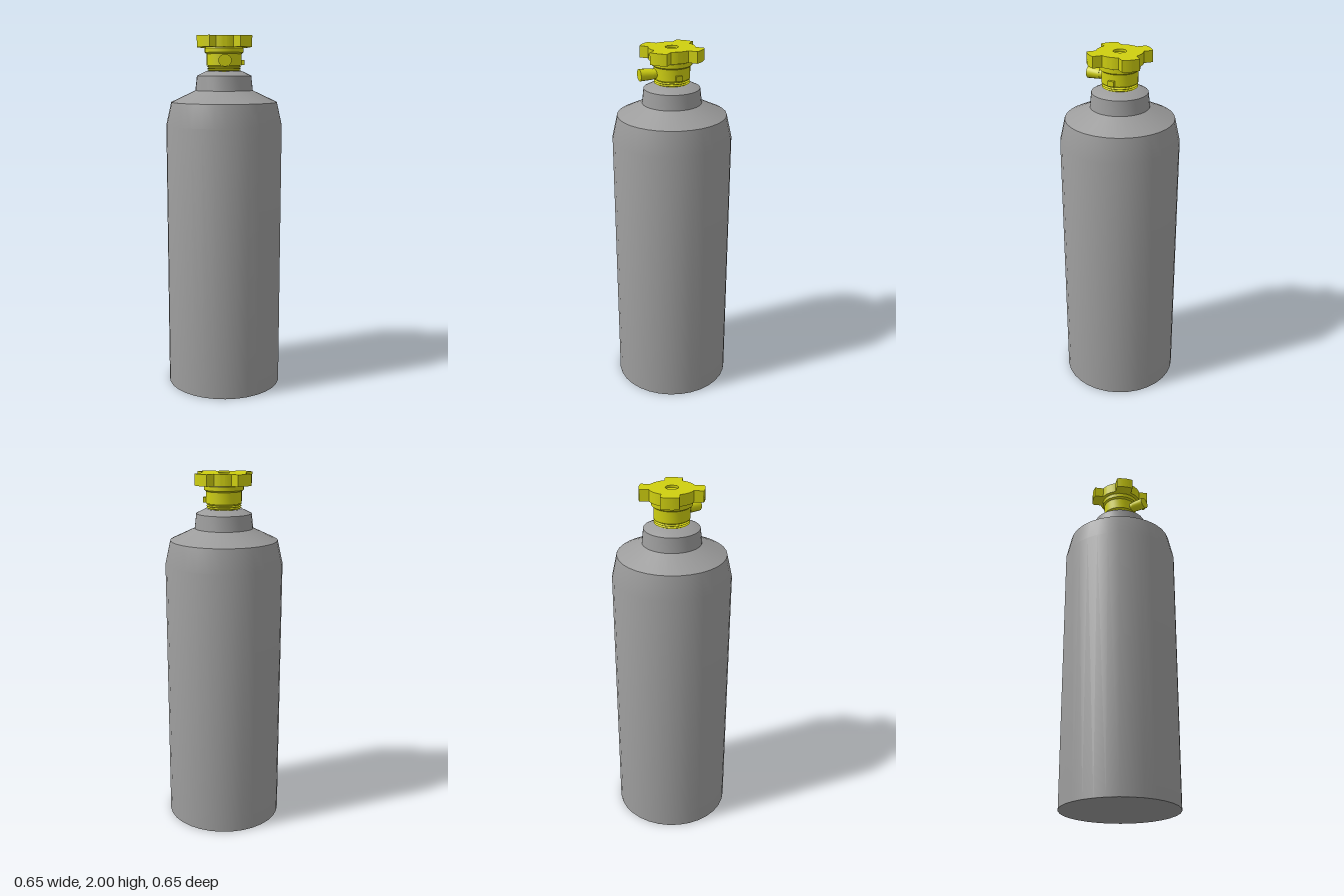
import * as THREE from 'three';
import { toCreasedNormals } from 'three/addons/utils/BufferGeometryUtils.js';

const CREASE = 0.55;

export function createModel() {
  const group = new THREE.Group();
  const steel = new THREE.MeshStandardMaterial({ color: 0x9c9c9c });
  steel.name = 'steelGrey';
  const yellow = new THREE.MeshStandardMaterial({ color: 0xcfcf10 });
  yellow.name = 'valveYellow';

  const add = (name, geometry, material) => {
    const mesh = new THREE.Mesh(toCreasedNormals(geometry, CREASE), material);
    mesh.name = name;
    group.add(mesh);
    return mesh;
  };
  // Profiles run from the bottom up as [radius, height]
  const lathe = (points) =>
    new THREE.LatheGeometry(points.map(([r, y]) => new THREE.Vector2(r, y)), 32);

  // Tank with tapered shoulder and neck ring
  add('tank', lathe([
    [0, 0], [0.326, 0], [0.326, 1.51], [0.297, 1.638],
    [0.161, 1.702], [0.152, 1.783], [0.1, 1.808], [0, 1.808],
  ]), steel);

  // Threaded stem: a stack of small ridges
  const thread = [[0, 1.79], [0.086, 1.79]];
  for (let i = 0; i < 4; i++) {
    const y = 1.8 + i * 0.01;
    thread.push([0.086, y], [0.096, y + 0.004], [0.086, y + 0.009]);
  }
  thread.push([0, 1.84]);
  add('threadedStem', lathe(thread), yellow);

  // Valve body with stepped collar below the handwheel
  add('valveBody', lathe([
    [0, 1.838], [0.097, 1.838], [0.097, 1.902], [0.108, 1.91],
    [0.108, 1.932], [0.1, 1.942], [0, 1.942],
  ]), yellow);

  // Handwheel: round hub with four straight-sided lobes
  const hubR = 0.124, lobeR = 0.172, halfWidth = 0.048;
  const hubA = Math.asin(halfWidth / hubR);
  const lobeA = Math.asin(halfWidth / lobeR);
  const wheel = new THREE.Shape();
  for (let i = 0; i < 4; i++) {
    const a = Math.PI / 4 + (i * Math.PI) / 2;
    wheel.absarc(0, 0, lobeR, a - lobeA, a + lobeA, false);
    wheel.absarc(0, 0, hubR, a + hubA, a + Math.PI / 2 - hubA, false);
  }
  wheel.closePath();
  const hole = new THREE.Path();
  hole.absarc(0, 0, 0.035, 0, Math.PI * 2, true);
  wheel.holes.push(hole);
  const wheelGeometry = new THREE.ExtrudeGeometry(wheel, {
    depth: 0.062, bevelEnabled: false, curveSegments: 10,
  });
  wheelGeometry.rotateX(-Math.PI / 2);
  add('handwheel', wheelGeometry, yellow).position.y = 1.938;

  // Spindle end, slightly sunk in the handwheel
  add('spindle', new THREE.CylinderGeometry(0.035, 0.035, 0.05, 24), yellow)
    .position.y = 1.963;

  // Outlet facing the front, with a wider end
  const outlet = new THREE.Group();
  outlet.name = 'outlet';
  const pipe = add('outletPipe', new THREE.CylinderGeometry(0.03, 0.03, 0.08, 16), yellow);
  pipe.position.z = 0.09;
  const tip = add('outletTip', new THREE.CylinderGeometry(0.036, 0.032, 0.072, 16), yellow);
  tip.position.z = 0.146;
  for (const part of [pipe, tip]) {
    part.rotation.x = Math.PI / 2;
    outlet.add(part);
  }
  outlet.position.y = 1.866;
  outlet.scale.y = 0.9;
  group.add(outlet);

  // Small square relief plug on the left side
  add('reliefPlug', new THREE.BoxGeometry(0.04, 0.028, 0.034), yellow)
    .position.set(0.092, 1.856, 0);

  return group;
}
